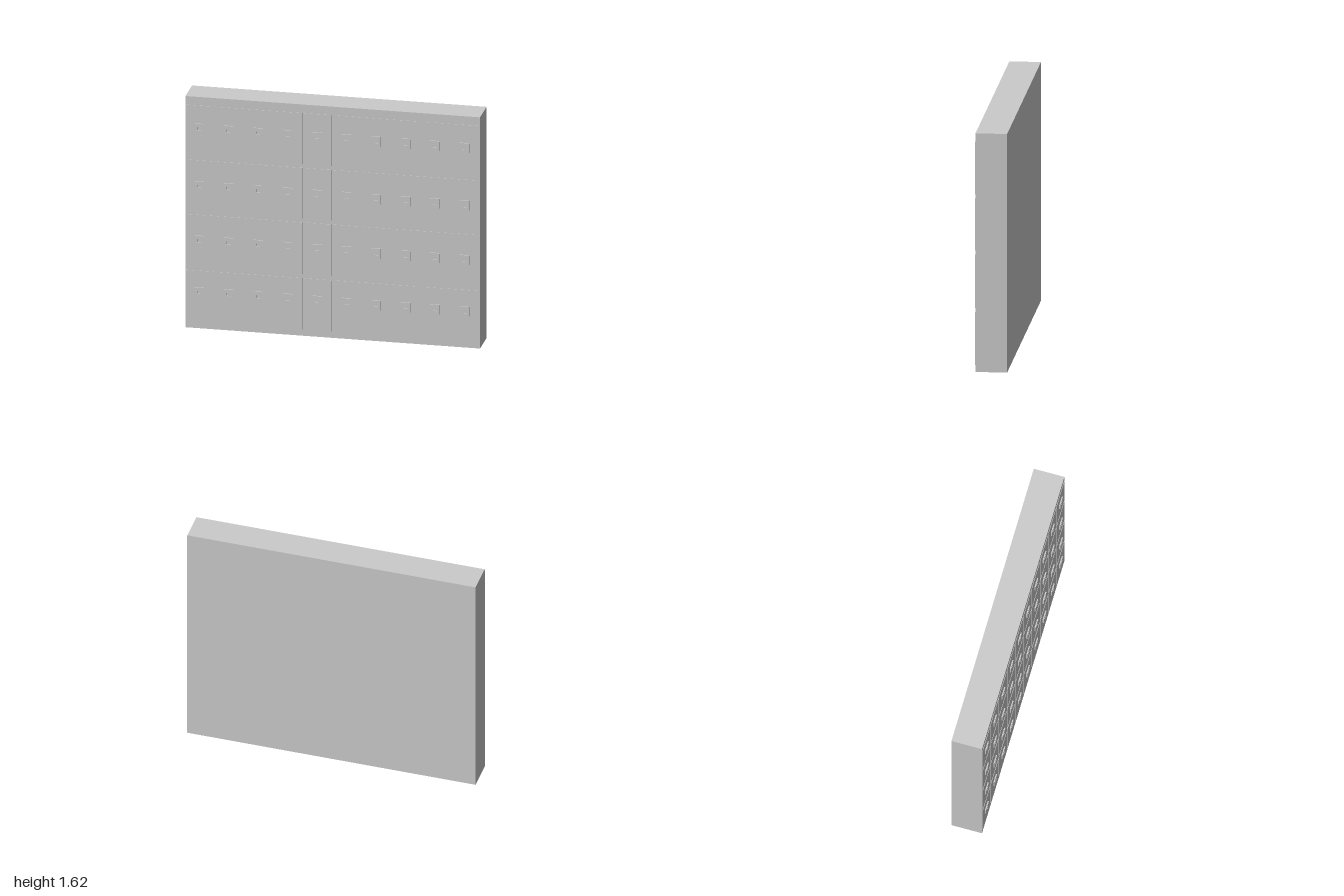
import * as THREE from 'three';

const COLUMNS = 10, LENGTH = 1.991, HEIGHT = 1.625, DEPTH = 0.21;
const PITCH = LENGTH / COLUMNS;
const DOOR_W = 0.187, DOOR_T = 0.003;
const TURN = Math.atan2(0.29, 1.97);

// bottom, top and handle height of each door in a column
const DOORS = [
  [0.045, 0.405, 0.255],
  [0.435, 0.797, 0.618],
  [0.825, 1.18, 1.0],
  [1.207, 1.565, 1.405],
];

const material = new THREE.MeshStandardMaterial({ color: 0xcccccc });

function rectangle(PathType, w, h) {
  return new PathType([
    new THREE.Vector2(-w / 2, -h / 2), new THREE.Vector2(w / 2, -h / 2),
    new THREE.Vector2(w / 2, h / 2), new THREE.Vector2(-w / 2, h / 2),
  ]);
}

// raised square plate with a small rectangular recess
function handleGeometry() {
  const plate = rectangle(THREE.Shape, 0.065, 0.068);
  plate.holes.push(rectangle(THREE.Path, 0.028, 0.022));
  return new THREE.ExtrudeGeometry(plate, { depth: 0.008, bevelEnabled: false });
}

function add(parent, geometry, name, x, y, z) {
  const mesh = new THREE.Mesh(geometry, material);
  mesh.name = name;
  mesh.position.set(x, y, z);
  parent.add(mesh);
}

export function createModel() {
  const model = new THREE.Group();
  model.name = 'lockerRow';

  const cabinet = new THREE.BoxGeometry(PITCH, HEIGHT, DEPTH);
  const handle = handleGeometry();
  const doors = DOORS.map(([y0, y1]) => new THREE.BoxGeometry(DOOR_W, y1 - y0, DOOR_T));

  for (let i = 0; i < COLUMNS; i++) {
    const column = new THREE.Group();
    column.name = `lockerColumn${i + 1}`;
    column.position.x = (i + 0.5) * PITCH - LENGTH / 2;
    add(column, cabinet, 'cabinet', 0, HEIGHT / 2, 0);

    // stacked doors, slightly proud of the cabinet front
    DOORS.forEach(([y0, y1, handleY], j) => {
      add(column, doors[j], 'door', 0, (y0 + y1) / 2, DEPTH / 2 + DOOR_T / 2);
      add(column, handle, 'handlePlate', -0.004, handleY, DEPTH / 2 + DOOR_T);
    });
    model.add(column);
  }

  // the whole row stands at a slight angle
  model.rotation.y = TURN;
  return model;
}
